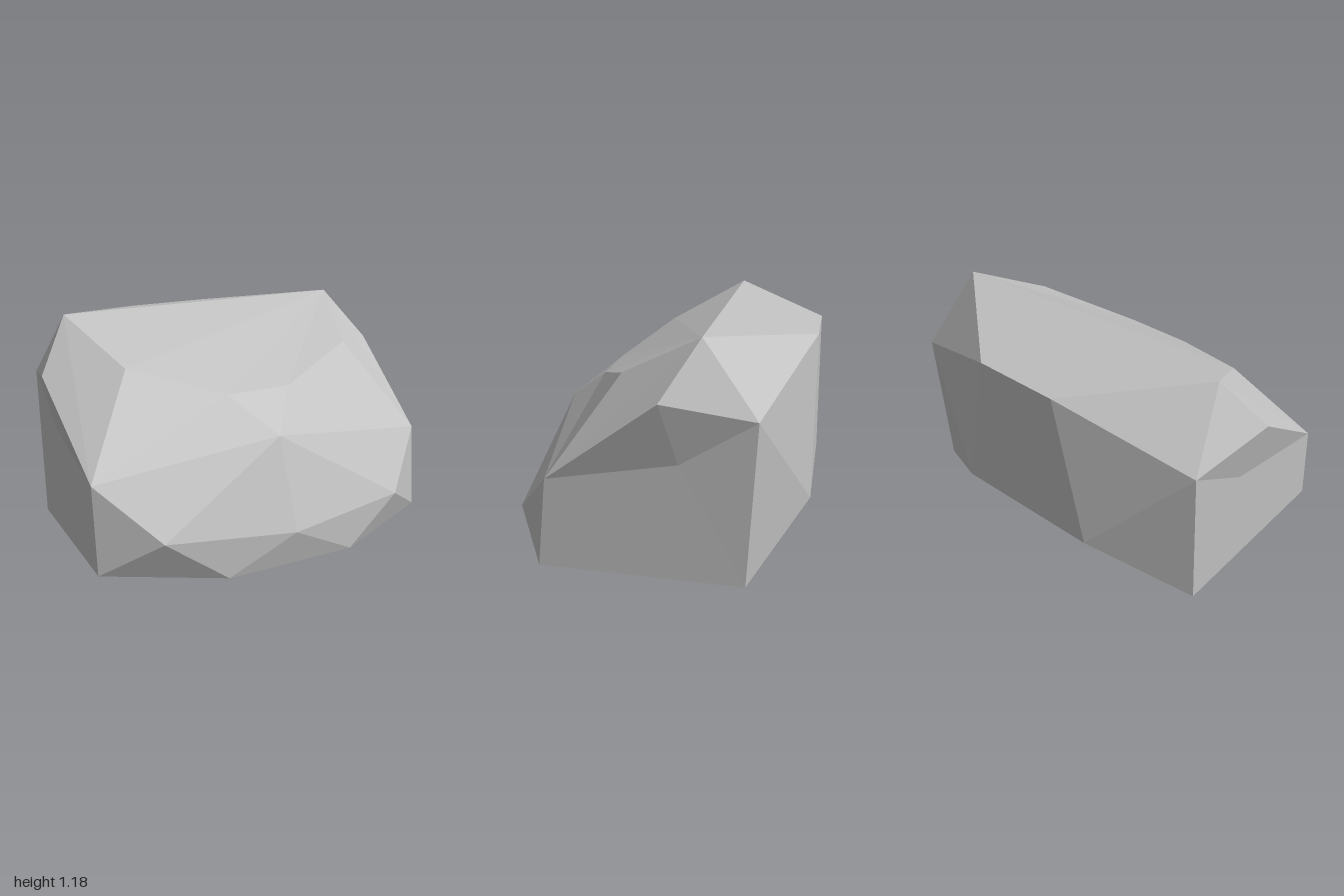
import * as THREE from 'three';

// Corners of the half at +x; the other half is mirrored.
const corners = {
  A: [0.815, 1.18, -0.27], // top ridge
  B: [1.0, 0.91, -0.1],    // shoulder
  C: [0.905, 0.82, -0.545],
  D: [0.23, 1.09, -0.77],  // rear top
  E: [0.955, 0.5, 0.455],
  F: [0.905, 0, -0.5],     // rear foot
  G: [0.41, 0.275, -0.77], // rear rim
  H: [0.68, 0.96, 0.14],
  I: [0.18, 0.82, 0.36],
  J: [0, 0.64, 0.59],      // brow
  K: [0.68, 0.23, 0.68],
  L: [0, 0.185, 0.77],     // nose
  M: [0.36, 0, 0.73],      // front rim
  N: [0.955, 0.05, 0.5],
  P: [0.92, 0.6, -0.18],   // middle of the side
};

// Lower case letters name the mirrored corners.
function corner(name) {
  if (name === 'h') return [-0.64, 0.96, 0.14];
  if (corners[name]) return corners[name];
  const [x, y, z] = corners[name.toUpperCase()];
  return [-x, y, z];
}

// Each string is one polygon, counter-clockwise from outside, cut as a fan.
function facets(polygons) {
  const positions = [];
  for (const p of polygons) {
    for (let i = 1; i < p.length - 1; i++) {
      for (const name of [p[0], p[i], p[i + 1]]) positions.push(...corner(name));
    }
  }
  const geometry = new THREE.BufferGeometry();
  geometry.setAttribute('position', new THREE.Float32BufferAttribute(positions, 3));
  geometry.computeVertexNormals();
  return geometry;
}

const mirrored = (polygons) => polygons.map((p) => p[0].toLowerCase() + [...p.slice(1).toLowerCase()].reverse().join(''));
const bothSides = (polygons) => [...polygons, ...mirrored(polygons)];

export function createModel() {
  const group = new THREE.Group();
  group.name = 'facetedShell';

  const stone = new THREE.MeshStandardMaterial({ color: 0xc0c0c0, flatShading: true, side: THREE.DoubleSide });
  stone.name = 'grey';

  const parts = {
    // sloping front, open towards the bottom
    frontShell: ['AahiIH', 'IiJ', 'LmM', ...bothSides(['AHEB', 'EHIJ', 'EJK', 'JLK', 'LMK', 'KMN', 'KNE'])],
    // flat walls left and right
    sideWalls: bothSides(['PEN', 'PNF', 'PFC', 'PCB', 'PBE']),
    // roof behind the ridge
    roof: ['aADd', ...bothSides(['ABC', 'ACD'])],
    // rear wall and its slanted corners
    rearWall: ['DGgd', ...bothSides(['CGD', 'CFG'])],
  };
  for (const [name, polygons] of Object.entries(parts)) {
    const mesh = new THREE.Mesh(facets(polygons), stone);
    mesh.name = name;
    group.add(mesh);
  }
  return group;
}
